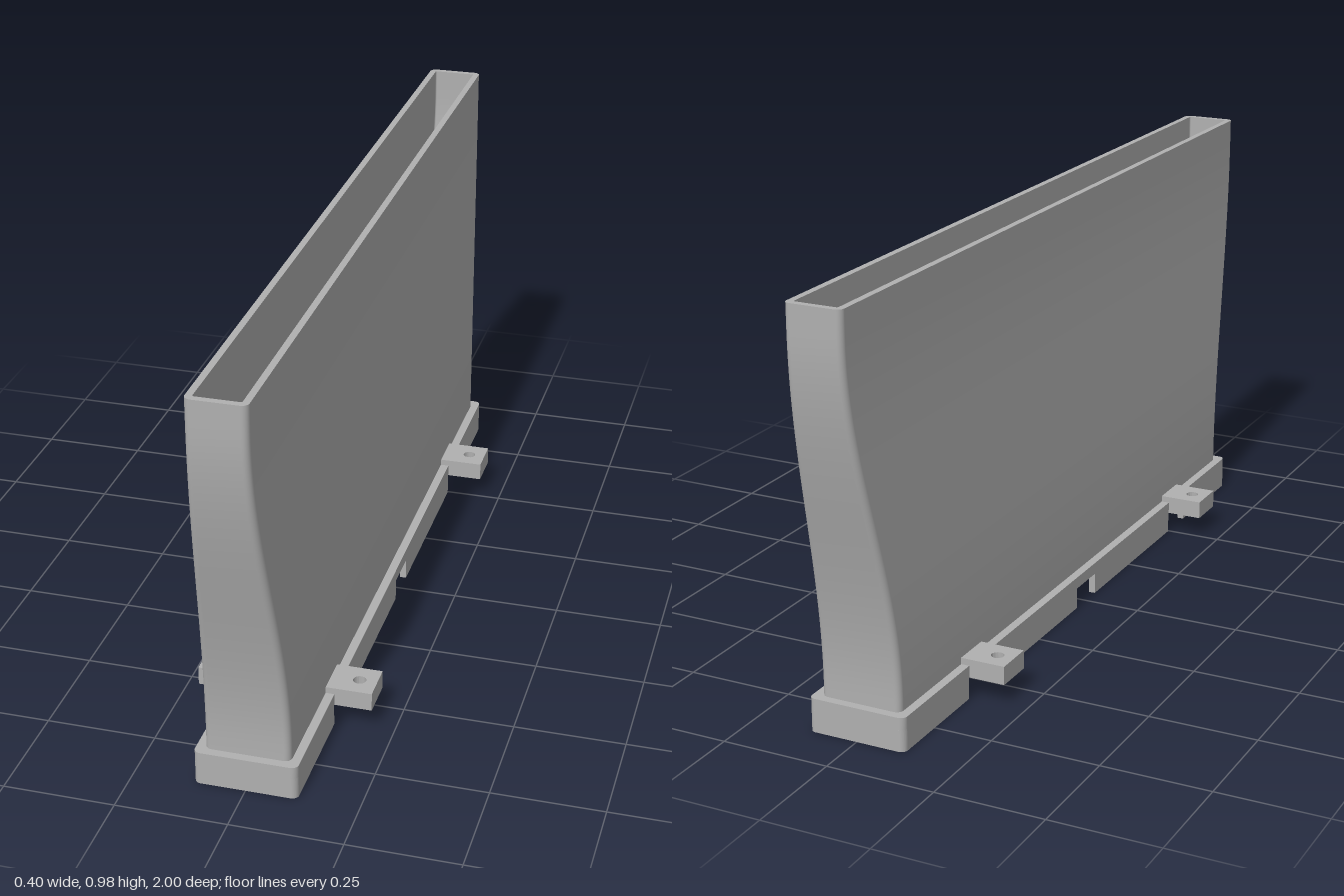
import * as THREE from 'three';

const WALL = 0.015, TOP = 0.98, COLLAR_TOP = 0.078, LEDGE = 0.05;
const BASE_X = 0.115, BASE_Z = 0.88, CORNER = 0.015;

// Rounded rectangle ring at height y, given half sizes and corner radius
function ring(hx, hz, y, r = CORNER, steps = 6) {
  const points = [];
  [[1, 1], [-1, 1], [-1, -1], [1, -1]].forEach(([sx, sz], q) => {
    for (let i = 0; i <= steps; i++) {
      const a = (q + i / steps) * Math.PI / 2;
      points.push([sx * (hx - r) + r * Math.cos(a), y, sz * (hz - r) + r * Math.sin(a)]);
    }
  });
  return points;
}

// Smooth skin through successive rings
function loft(rings) {
  const n = rings[0].length, index = [];
  for (let j = 0; j < rings.length - 1; j++) {
    for (let i = 0; i < n; i++) {
      const k = (i + 1) % n;
      const a = j * n + i, b = j * n + k, c = a + n, d = b + n;
      index.push(a, c, b, b, c, d);
    }
  }
  const geo = new THREE.BufferGeometry();
  geo.setAttribute('position', new THREE.Float32BufferAttribute(rings.flat(2), 3));
  geo.setIndex(index);
  geo.computeVertexNormals();
  return geo;
}

// Funnel section: wide and short below, narrow and long above
function shellRing(y, inset) {
  const s = THREE.MathUtils.smoothstep(y, 0.1, 0.92);
  const hx = THREE.MathUtils.lerp(0.095, 0.065, s);
  const hz = THREE.MathUtils.lerp(0.86, 1.0, s);
  return ring(hx - inset, hz - inset, y, inset ? 0.004 : CORNER);
}

function shellRings(y0, y1, inset) {
  const rings = [];
  for (let i = 0; i <= 32; i++) rings.push(shellRing(y0 + (y1 - y0) * i / 32, inset));
  return rings;
}

// Extrude a plan shape upwards from y
function slab(shape, y, height) {
  const geo = new THREE.ExtrudeGeometry(shape, { depth: height, bevelEnabled: false, curveSegments: 8 });
  return geo.rotateX(-Math.PI / 2).translate(0, y, 0);
}

export function createModel() {
  const model = new THREE.Group();
  model.name = 'funnel';
  const grey = new THREE.MeshStandardMaterial({ color: 0xb0b0b0 });
  grey.name = 'grey plastic';

  const add = (name, geo, parent = model) => {
    const mesh = new THREE.Mesh(geo, grey);
    mesh.name = name;
    parent.add(mesh);
    return mesh;
  };

  // Hollow body
  add('outerShell', loft(shellRings(COLLAR_TOP, TOP, 0)));
  add('topRim', loft([shellRing(TOP, 0), shellRing(TOP, WALL)]));
  add('innerShell', loft(shellRings(TOP, LEDGE, WALL)));

  // Collar around the foot
  const collar = new THREE.Group();
  collar.name = 'collar';
  model.add(collar);
  const low = ring(BASE_X, BASE_Z, LEDGE), high = ring(BASE_X, BASE_Z, COLLAR_TOP);
  add('collarSide', loft([low, high]), collar);
  add('collarTop', loft([high, shellRing(COLLAR_TOP, 0)]), collar);
  add('collarLedge', loft([shellRing(LEDGE, WALL), low]), collar);

  // Skirt below the collar, interrupted by notches
  const end = new THREE.Shape();
  end.moveTo(BASE_X, 0.595);
  end.lineTo(BASE_X, BASE_Z - CORNER);
  end.absarc(BASE_X - CORNER, BASE_Z - CORNER, CORNER, 0, Math.PI / 2);
  end.lineTo(CORNER - BASE_X, BASE_Z);
  end.absarc(CORNER - BASE_X, BASE_Z - CORNER, CORNER, Math.PI / 2, Math.PI);
  end.lineTo(-BASE_X, 0.595);
  end.lineTo(WALL - BASE_X, 0.595);
  end.lineTo(WALL - BASE_X, BASE_Z - WALL);
  end.lineTo(BASE_X - WALL, BASE_Z - WALL);
  end.lineTo(BASE_X - WALL, 0.595);
  const endGeo = slab(end, 0, LEDGE);
  const sideGeo = new THREE.BoxGeometry(WALL, LEDGE, 0.447);

  // Mounting tab with a screw hole
  const tab = new THREE.Shape();
  tab.moveTo(0.09, -0.047);
  tab.lineTo(0.2, -0.047);
  tab.lineTo(0.2, 0.047);
  tab.lineTo(0.09, 0.047);
  tab.closePath();
  const hole = new THREE.Path();
  hole.absarc(0.16, 0, 0.015, 0, Math.PI * 2, true);
  tab.holes.push(hole);
  const tabGeo = slab(tab, LEDGE, 0.043);

  for (const sz of [-1, 1]) {
    add('skirtEnd', endGeo).rotation.y = sz > 0 ? Math.PI : 0;
    for (const sx of [-1, 1]) {
      add('skirtSide', sideGeo).position.set(sx * (BASE_X - WALL / 2), LEDGE / 2, sz * 0.2735);
      const mount = add('mountingTab', tabGeo);
      mount.rotation.y = sx > 0 ? 0 : Math.PI;
      mount.position.z = sz * 0.546;
    }
  }
  return model;
}
